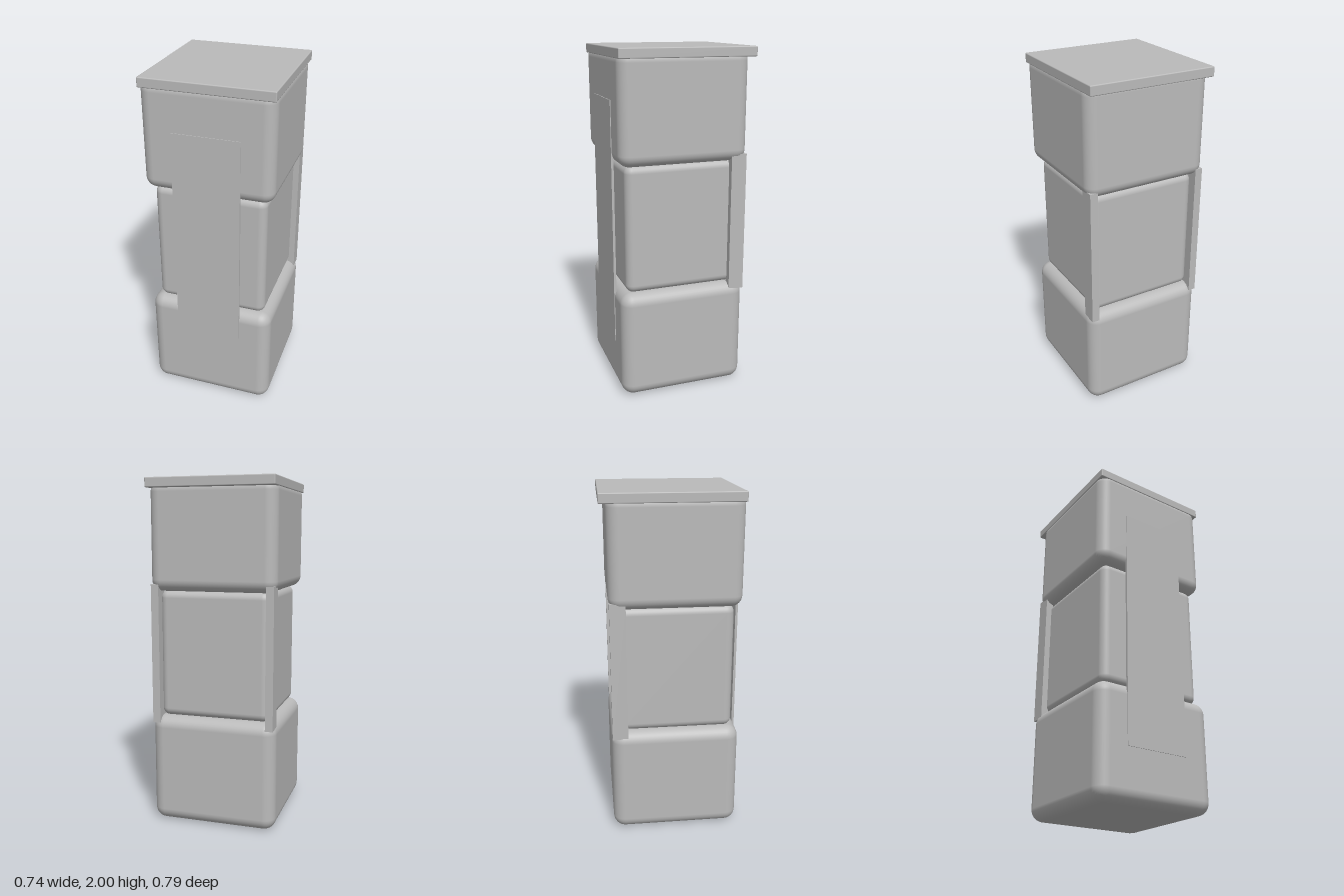
import * as THREE from 'three';
import { RoundedBoxGeometry } from 'three/addons/geometries/RoundedBoxGeometry.js';

export function createModel() {
  const group = new THREE.Group();
  const grey = new THREE.MeshStandardMaterial({ color: 0xbababa });
  grey.name = 'grey';

  // Adds a box between two corners; a radius rounds its edges
  function addBox(name, [x0, y0, z0], [x1, y1, z1], radius = 0) {
    const size = [x1 - x0, y1 - y0, z1 - z0];
    const geometry = radius
      ? new RoundedBoxGeometry(...size, 4, radius)
      : new THREE.BoxGeometry(...size);
    const mesh = new THREE.Mesh(geometry, grey);
    mesh.name = name;
    mesh.position.set((x0 + x1) / 2, (y0 + y1) / 2, (z0 + z1) / 2);
    group.add(mesh);
  }

  // Stacked body: wide base and head with a narrower waist
  addBox('baseBlock', [-0.37, 0, -0.355], [0.37, 0.64, 0.39], 0.07);
  addBox('middleBlock', [-0.325, 0.635, -0.31], [0.325, 1.375, 0.35], 0.045);
  addBox('upperBlock', [-0.37, 1.37, -0.355], [0.37, 1.99, 0.39], 0.065);

  // Flat lid, overhanging at the back
  addBox('lid', [-0.37, 1.945, -0.392], [0.37, 2, 0.39], 0.006);

  // Tall thin plate bridging the front
  addBox('frontPlate', [-0.195, 0.29, 0.38], [0.19, 1.72, 0.394]);

  // Upright posts at the two rear corners of the waist
  addBox('leftRearPost', [0.315, 0.6, -0.35], [0.36, 1.41, -0.26]);
  addBox('rightRearPost', [-0.36, 0.6, -0.35], [-0.315, 1.41, -0.26]);

  return group;
}
